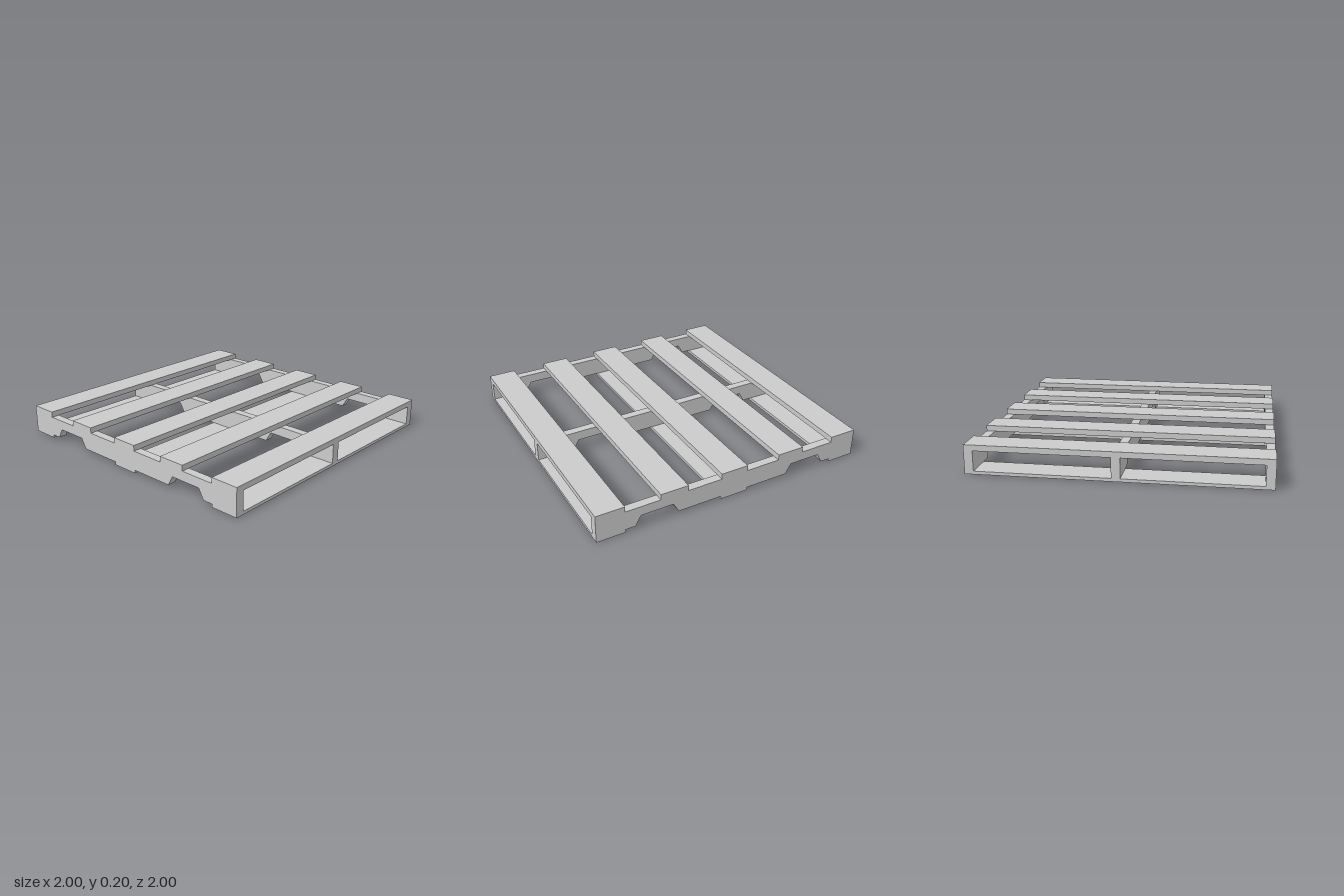
import * as THREE from 'three';

const LENGTH = 2, HEIGHT = 0.2, BOARD_WIDTH = 0.2;
const TOP = 0.04, BOTTOM = 0.022; // deck board thicknesses
const STRINGER = 0.06;            // stringer thickness

export function createModel() {
  const group = new THREE.Group();
  group.name = 'pallet';
  const material = new THREE.MeshStandardMaterial({ color: 0xcccccc, flatShading: true });

  const add = (name, geometry, x, y, z) => {
    const mesh = new THREE.Mesh(geometry, material);
    mesh.name = name;
    mesh.position.set(x, y, z);
    group.add(mesh);
  };

  // Top and bottom deck boards
  const topBoard = new THREE.BoxGeometry(LENGTH, TOP, BOARD_WIDTH);
  for (const z of [-0.9, -0.45, 0, 0.45, 0.9]) add('topBoard', topBoard, 0, HEIGHT - TOP / 2, z);
  const bottomBoard = new THREE.BoxGeometry(LENGTH, BOTTOM, BOARD_WIDTH);
  for (const z of [-0.9, 0, 0.9]) add('bottomBoard', bottomBoard, 0, BOTTOM / 2, z);

  // Stringer side profile with two tapered fork notches
  const notch = [[0.42, BOTTOM], [0.46, 0.092], [0.69, 0.092], [0.73, BOTTOM]];
  const mirrored = notch.map(([z, y]) => [-z, y]).reverse();
  const outline = [[-1, BOTTOM], ...mirrored, ...notch, [1, BOTTOM], [1, HEIGHT - TOP], [-1, HEIGHT - TOP]];
  const profile = new THREE.Shape(outline.map(([z, y]) => new THREE.Vector2(z, y)));
  const stringer = new THREE.ExtrudeGeometry(profile, { depth: STRINGER, bevelEnabled: false });
  stringer.translate(0, 0, -STRINGER / 2).rotateY(Math.PI / 2);
  const edge = LENGTH / 2 - STRINGER / 2;
  add('rightStringer', stringer, -edge, 0, 0);
  add('centreStringer', stringer, 0, 0, 0);
  add('leftStringer', stringer, edge, 0, 0);

  return group;
}
